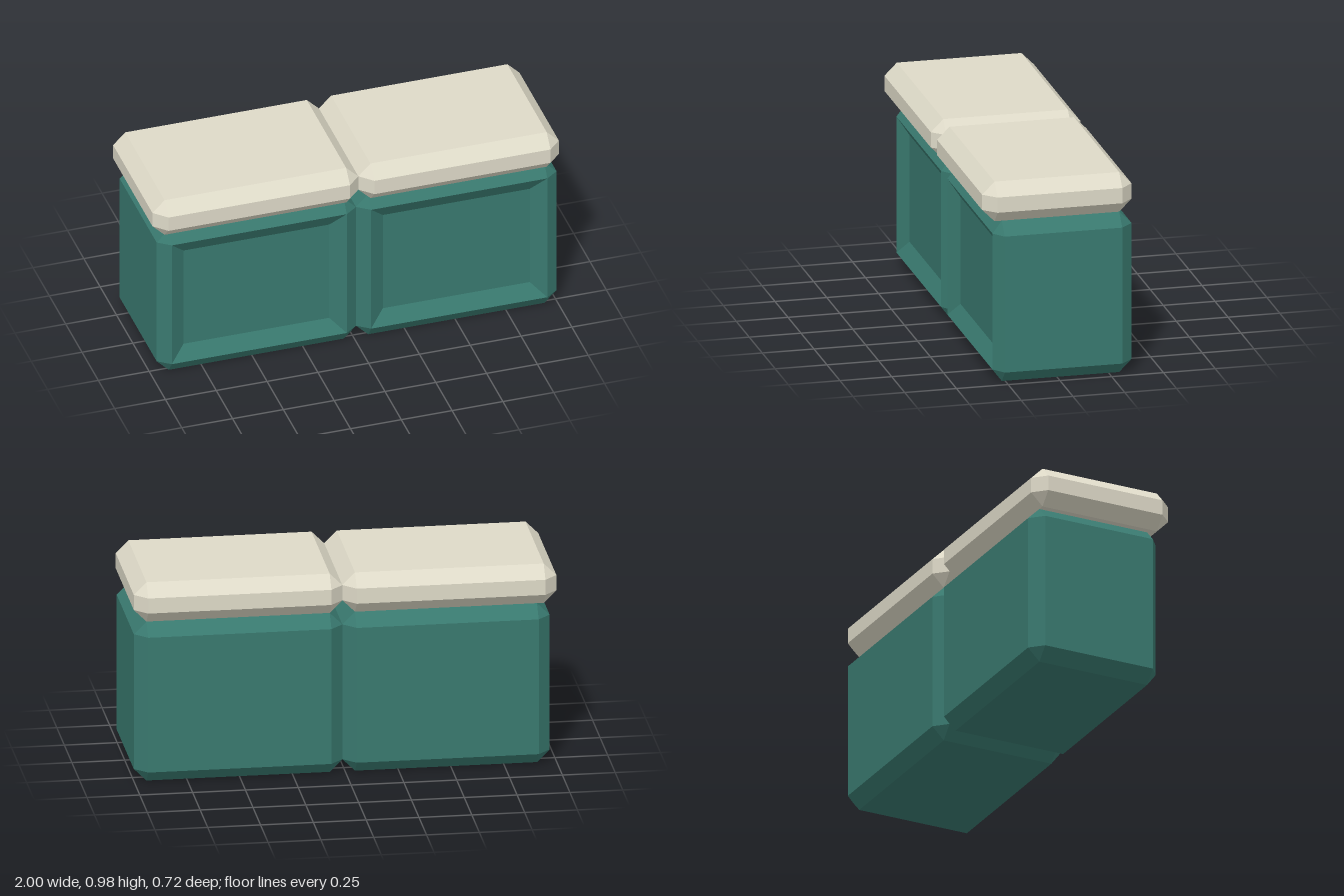
import * as THREE from 'three';

const BEVEL = 0.06;

// Collects convex polygons, each turned to face along its guide direction
function polygonBuilder() {
  const positions = [];
  return {
    add(points, guide) {
      const normal = new THREE.Vector3().crossVectors(
        points[1].clone().sub(points[0]), points[2].clone().sub(points[0]));
      const ring = normal.dot(guide) < 0 ? [...points].reverse() : points;
      for (let i = 1; i < ring.length - 1; i++) {
        for (const p of [ring[0], ring[i], ring[i + 1]]) positions.push(p.x, p.y, p.z);
      }
    },
    build() {
      const geometry = new THREE.BufferGeometry();
      geometry.setAttribute('position', new THREE.Float32BufferAttribute(positions, 3));
      geometry.computeVertexNormals();
      return geometry;
    },
  };
}

// Box with bevelled edges and corners; the front can hold a sunken panel
function bevelledBox(min, max, { frontBevel = BEVEL, recess = null } = {}) {
  const builder = polygonBuilder();

  // Point of corner s (three signs) that lies on the face across the given axis
  const corner = (s, axis) => new THREE.Vector3(...s.map((sign, i) => {
    const inset = i === axis ? 0 : (i === 2 && sign > 0 ? frontBevel : BEVEL);
    return sign > 0 ? max[i] - inset : min[i] + inset;
  }));
  const signs = (a, sa, b, sb, c, sc) => {
    const s = [0, 0, 0];
    s[a] = sa; s[b] = sb; s[c] = sc;
    return s;
  };

  for (let a = 0; a < 3; a++) {
    const b = (a + 1) % 3, c = (a + 2) % 3;
    for (const sa of [-1, 1]) {
      // Flat face across axis a
      const face = [[-1, -1], [1, -1], [1, 1], [-1, 1]]
        .map(([sb, sc]) => corner(signs(a, sa, b, sb, c, sc), a));
      const guide = new THREE.Vector3().setComponent(a, sa);
      if (recess && a === 2 && sa > 0) {
        // Sloping rim leading to the sunken panel
        const mid = face[0].clone().add(face[2]).multiplyScalar(0.5);
        const inner = face.map((p) => new THREE.Vector3(
          p.x - Math.sign(p.x - mid.x) * recess.rim,
          p.y - Math.sign(p.y - mid.y) * recess.rim,
          p.z - recess.depth));
        face.forEach((p, i) => {
          const j = (i + 1) % 4;
          builder.add([p, face[j], inner[j], inner[i]], guide);
        });
        builder.add(inner, guide);
      } else {
        builder.add(face, guide);
      }

      // Bevel strip between the faces across a and b
      for (const sb of [-1, 1]) {
        const s0 = signs(a, sa, b, sb, c, -1), s1 = signs(a, sa, b, sb, c, 1);
        builder.add([corner(s0, a), corner(s1, a), corner(s1, b), corner(s0, b)],
          new THREE.Vector3().setComponent(a, sa).setComponent(b, sb));
      }
    }
  }

  // Corner triangles
  for (const x of [-1, 1]) for (const y of [-1, 1]) for (const z of [-1, 1]) {
    const s = [x, y, z];
    builder.add([0, 1, 2].map((axis) => corner(s, axis)), new THREE.Vector3(x, y, z));
  }
  return builder.build();
}

export function createModel() {
  const model = new THREE.Group();
  model.name = 'counter';
  const teal = new THREE.MeshStandardMaterial({ color: 0x39796f, flatShading: true });
  const cream = new THREE.MeshStandardMaterial({ color: 0xdedac8, flatShading: true });

  // Two cabinets side by side, the right one with a worktop overhanging its end
  const units = [
    { name: 'rightUnit', cabinet: [-0.968, 0.013], top: [-1, 0.013] },
    { name: 'leftUnit', cabinet: [0.013, 1], top: [0.013, 1] },
  ];
  for (const { name, cabinet, top } of units) {
    const unit = new THREE.Group();
    unit.name = name;

    const body = new THREE.Mesh(bevelledBox(
      [cabinet[0], 0, -0.361], [cabinet[1], 0.789, 0.311],
      { frontBevel: 0.045, recess: { rim: 0.072, depth: 0.045 } }), teal);
    body.name = 'cabinet';

    const slab = new THREE.Mesh(bevelledBox(
      [top[0], 0.789, -0.361], [top[1], 0.984, 0.361]), cream);
    slab.name = 'worktop';

    unit.add(body, slab);
    model.add(unit);
  }
  return model;
}
